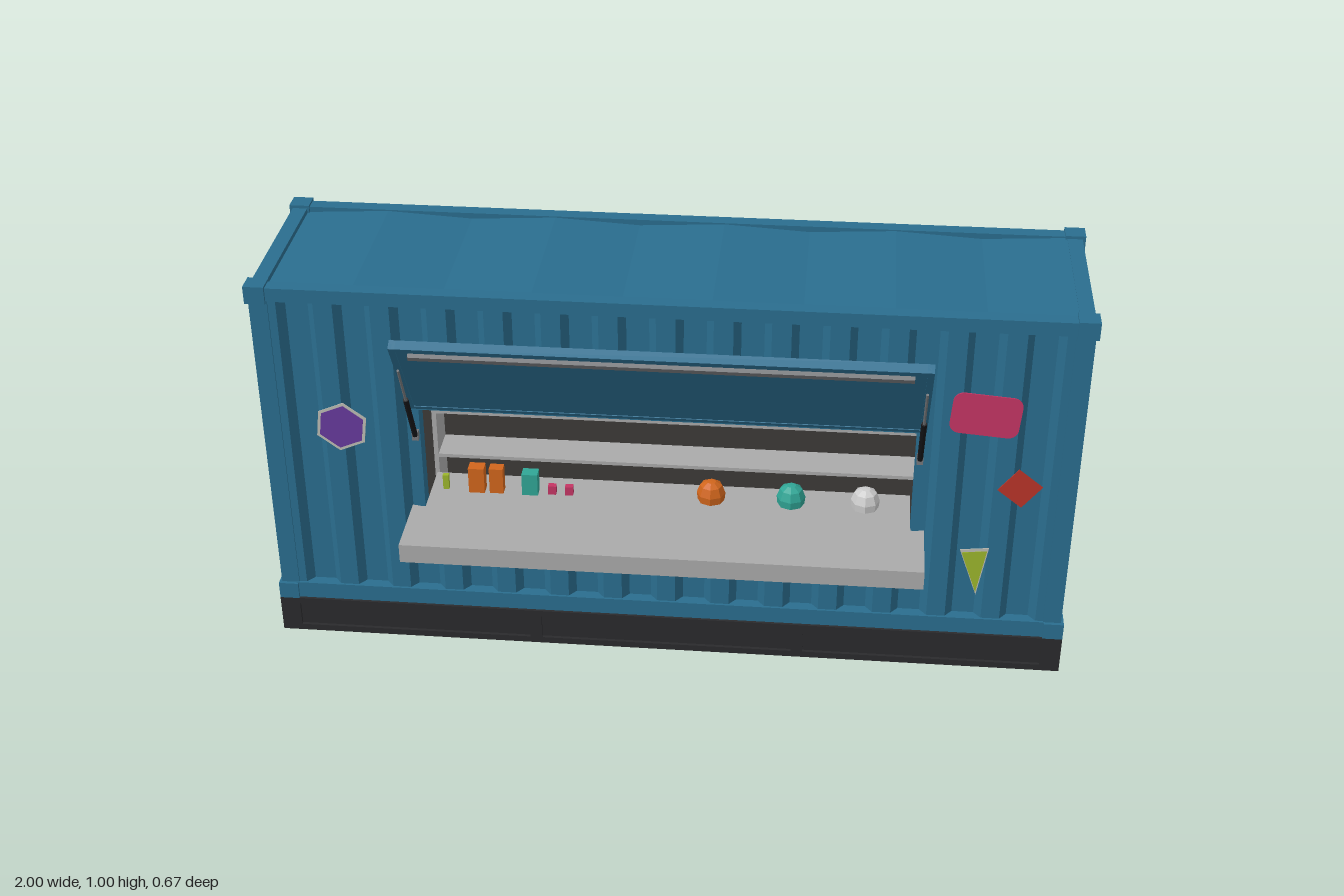
import * as THREE from 'three';

const mat = (color) => new THREE.MeshStandardMaterial({ color, flatShading: true });
const BLUE = mat(0x2a6d8e), DARK = mat(0x2a2a2c), BLACK = mat(0x161618), STEEL = mat(0x75777a);
const COUNTER = mat(0xaaaaaa), LINING = mat(0x3c3a37), PALE = mat(0xbcbcb4);
const ORANGE = mat(0xd0651c), PINK = mat(0xc43564), TEAL = mat(0x30a595), GREEN = mat(0x9bb52c);
const PURPLE = mat(0x663a9c), RED = mat(0xb83428), WHITE = mat(0xdadad6);
const ZC = -0.083;

function add(parent, name, geo, material, x = 0, y = 0, z = 0) {
  const m = new THREE.Mesh(geo, material);
  m.name = name;
  m.position.set(x, y, z);
  parent.add(m);
  return m;
}

// box given by its limits
function box(parent, name, material, x0, x1, y0, y1, z0, z1) {
  return add(parent, name, new THREE.BoxGeometry(x1 - x0, y1 - y0, z1 - z0), material,
    (x0 + x1) / 2, (y0 + y1) / 2, (z0 + z1) / 2);
}

function group(parent, name, x = 0, y = 0, z = 0) {
  const g = new THREE.Group();
  g.name = name;
  g.position.set(x, y, z);
  parent.add(g);
  return g;
}

// corrugated sheet: trapezoid wave along x, crests at z = 0, valleys at z = -depth
function sheet(x0, x1, height, period = 0.136, depth = 0.022, thick = 0.006) {
  const f = [0, 0.17, 0.3, 0.7, 0.83, 1];
  const wave = (x) => {
    const t = Math.abs(x / period - Math.round(x / period));
    return -depth * THREE.MathUtils.clamp((t - 0.17) / 0.13, 0, 1);
  };
  const xs = [x0];
  for (let k = Math.floor(x0 / period); k <= x1 / period; k++)
    for (const t of f.slice(1, 5)) {
      const x = (k + t) * period;
      if (x > x0 + 1e-4 && x < x1 - 1e-4) xs.push(x);
    }
  xs.push(x1);
  const pts = xs.map((x) => new THREE.Vector2(x, -wave(x)));
  const back = xs.map((x) => new THREE.Vector2(x, -wave(x) + thick)).reverse();
  return new THREE.ExtrudeGeometry(new THREE.Shape([...pts, ...back]), { depth: height, bevelEnabled: false })
    .rotateX(-Math.PI / 2);
}

const polygon = (n, r, turn = 0) => new THREE.Shape(Array.from({ length: n }, (_, i) => {
  const a = turn + (i / n) * Math.PI * 2;
  return new THREE.Vector2(r * Math.cos(a), r * Math.sin(a));
}));

function roundRect(w, h, r) {
  const s = new THREE.Shape();
  s.absarc(w / 2 - r, h / 2 - r, r, 0, Math.PI / 2);
  s.absarc(-w / 2 + r, h / 2 - r, r, Math.PI / 2, Math.PI);
  s.absarc(-w / 2 + r, -h / 2 + r, r, Math.PI, Math.PI * 1.5);
  s.absarc(w / 2 - r, -h / 2 + r, r, Math.PI * 1.5, Math.PI * 2);
  return s;
}

// thin decal, optionally with a pale rim behind it
function decal(parent, shape, material, x, y, z, turn = 0, rim = false) {
  const g = group(parent, 'decal', x, y, z);
  g.rotation.z = turn;
  const flat = (d) => new THREE.ExtrudeGeometry(shape, { depth: d, bevelEnabled: false, curveSegments: 6 });
  add(g, 'decalFace', flat(0.003), material);
  if (rim) add(g, 'decalRim', flat(0.002), PALE).scale.set(1.14, 1.14, 1);
}

function rod(parent, name, material, a, b, r) {
  const p = new THREE.Vector3(...a), q = new THREE.Vector3(...b);
  const m = add(parent, name, new THREE.CylinderGeometry(r, r, p.distanceTo(q), 8), material);
  m.position.addVectors(p, q).multiplyScalar(0.5);
  m.quaternion.setFromUnitVectors(new THREE.Vector3(0, 1, 0), q.sub(p).normalize());
}

function buildFrame(root) {
  // plinth with framed panels on both long sides
  box(root, 'plinth', DARK, -1, 1, 0, 0.1, -0.325, 0.159);
  for (const [z0, z1] of [[0.159, 0.167], [-0.333, -0.325]]) {
    box(root, 'plinthTopRim', DARK, -1, 1, 0.083, 0.1, z0, z1);
    box(root, 'plinthBottomRim', DARK, -1, 1, 0, 0.017, z0, z1);
    for (const [a, b] of [[-1, -0.95], [-0.35, -0.32], [0.32, 0.35], [0.95, 1]])
      box(root, 'plinthDivider', DARK, a, b, 0.017, 0.083, z0, z1);
  }
  // posts, corner castings and rails
  for (const s of [-1, 1]) {
    for (const k of [-1, 1]) {
      const z = ZC + k * 0.222;
      add(root, 'cornerPost', new THREE.BoxGeometry(0.045, 0.82, 0.038), BLUE, s * 0.9705, 0.55, z);
      for (const y of [0.122, 0.978])
        add(root, 'cornerCasting', new THREE.BoxGeometry(0.05, 0.045, 0.05), BLUE, s * 0.975, y, ZC + k * 0.225);
    }
    for (const [a, b] of [[0.1, 0.145], [0.95, 0.993]])
      box(root, 'endRail', BLUE, Math.min(s * 0.955, s * 0.992), Math.max(s * 0.955, s * 0.992), a, b, -0.3, 0.13);
  }
  for (const z of [0.142, -0.308]) {
    box(root, 'bottomRail', BLUE, -0.96, 0.96, 0.1, 0.145, z - 0.018, z + 0.018);
    box(root, 'topRail', BLUE, -0.96, 0.96, 0.96, 0.995, z - 0.018, z + 0.018);
  }
  // roof of wide shallow folds
  const top = [], n = 9;
  for (let i = 0; i <= n; i++) top.push(new THREE.Vector2(-0.96 + (i / n) * 1.92, i % 2 ? 0.992 : 0.98));
  const roof = new THREE.Shape([...top, new THREE.Vector2(0.96, 0.965), new THREE.Vector2(-0.96, 0.965)]);
  add(root, 'roof', new THREE.ExtrudeGeometry(roof, { depth: 0.43, bevelEnabled: false }), BLUE, 0, 0, -0.298);
}

function buildWalls(root) {
  // front wall around the hatch
  for (const [a, b, y0, y1] of [[-0.95, -0.62, 0.14, 0.965], [0.62, 0.95, 0.14, 0.965],
    [-0.62, 0.62, 0.14, 0.395], [-0.62, 0.62, 0.69, 0.965]])
    add(root, 'frontWall', sheet(a, b, y1 - y0), BLUE, 0, y0, 0.154);
  add(root, 'backWall', sheet(-0.95, 0.95, 0.825), BLUE, 0, 0.14, -0.32).rotation.y = Math.PI;
  const left = add(root, 'leftWall', sheet(-0.205, 0.205, 0.825), BLUE, -0.985, 0.14, ZC);
  left.rotation.y = -Math.PI / 2;
  // hatch frame
  for (const s of [-1, 1]) box(root, 'hatchJamb', BLUE, s * 0.612 - 0.01, s * 0.612 + 0.01, 0.39, 0.7, 0.115, 0.158);
  box(root, 'hatchHeader', BLUE, -0.62, 0.62, 0.68, 0.697, 0.115, 0.158);
  // interior lining
  box(root, 'liningBack', LINING, -0.95, 0.95, 0.11, 0.955, -0.294, -0.288);
  box(root, 'liningFloor', LINING, -0.95, 0.95, 0.105, 0.112, -0.29, 0.12);
  box(root, 'liningCeiling', LINING, -0.95, 0.95, 0.95, 0.957, -0.29, 0.12);
  for (const s of [-1, 1]) box(root, 'liningSide', LINING, s * 0.945 - 0.004, s * 0.945 + 0.004, 0.11, 0.955, -0.29, 0.12);
}

function buildDoors(root) {
  const end = group(root, 'doorEnd', 0.965, 0, 0);
  end.rotation.y = Math.PI / 2;
  const rows = [0.21, 0.4, 0.59, 0.78];
  for (const [u0, u1, hinge, lock, dir] of [[-0.12, 0.081, -0.1, 0.037, -1], [0.085, 0.285, 0.258, 0.127, 1]]) {
    // door leaf with four sloped recesses
    const leaf = new THREE.Shape([[u0, 0.15], [u1, 0.15], [u1, 0.947], [u0, 0.947]].map((p) => new THREE.Vector2(...p)));
    const a = u0 + 0.02, b = u1 - 0.02;
    for (const y of rows) {
      leaf.holes.push(new THREE.Path([[a, y], [a, y + 0.105], [b, y + 0.105], [b, y]].map((p) => new THREE.Vector2(...p))));
      for (const [edge, d] of [[y, 0.03], [y + 0.105, -0.015]]) {
        const wedge = new THREE.Shape([[0, edge], [0, edge + d], [-0.014, edge]].map((p) => new THREE.Vector2(...p)));
        add(end, 'recessSlope', new THREE.ExtrudeGeometry(wedge, { depth: b - a, bevelEnabled: false })
          .rotateY(Math.PI / 2), BLUE, a, 0, 0);
      }
    }
    add(end, 'doorLeaf', new THREE.ExtrudeGeometry(leaf, { depth: 0.014, bevelEnabled: false }), BLUE);
    box(end, 'doorBacking', BLUE, u0, u1, 0.15, 0.947, -0.006, 0.001);
    // recess slopes lean from the backing out to the leaf face
    end.children.filter((c) => c.name === 'recessSlope').forEach((c) => { c.scale.z = 1; });
    // locking rod, handle and hinges
    rod(end, 'lockRod', STEEL, [lock, 0.14, 0.025], [lock, 0.978, 0.025], 0.005);
    box(end, 'rodFoot', STEEL, lock - 0.013, lock + 0.013, 0.13, 0.16, 0.012, 0.034);
    box(end, 'rodGuide', STEEL, lock - 0.011, lock + 0.011, 0.775, 0.795, 0.012, 0.033);
    const h = lock + dir * 0.043;
    box(end, 'handle', STEEL, h - 0.046, h + 0.046, 0.379, 0.39, 0.022, 0.032);
    for (const y of [0.262, 0.835]) box(end, 'hinge', STEEL, hinge - 0.028, hinge + 0.024, y - 0.019, y + 0.019, 0.008, 0.03);
  }
  decal(end, roundRect(0.13, 0.05, 0.02), TEAL, -0.04, 0.46, 0.015, 0.7);
}

function buildHatch(root) {
  // raised flap, hinged along its lower edge
  const flap = group(root, 'hatchFlap', 0, 0.695, 0.17);
  flap.rotation.x = Math.atan2(0.155, 0.25);
  const L = 0.294;
  box(flap, 'flapLining', BLUE, -0.615, 0.615, 0, L, -0.003, 0.003);
  add(flap, 'flapSheet', sheet(-0.61, 0.61, L - 0.01, 0.112, 0.012, 0.003), BLUE, 0, 0.005, -0.018).rotation.y = Math.PI;
  for (const s of [-1, 1]) box(flap, 'flapSide', BLUE, s * 0.615 - 0.008, s * 0.615 + 0.008, 0, L, -0.019, 0.005);
  for (const y of [0, L - 0.012]) box(flap, 'flapEdge', BLUE, -0.62, 0.62, y, y + 0.012, -0.019, 0.005);
  box(flap, 'flapHandle', STEEL, -0.58, 0.58, L - 0.035, L - 0.02, 0.003, 0.014);
  rod(root, 'flapHinge', STEEL, [-0.61, 0.694, 0.165], [0.61, 0.694, 0.165], 0.005);
  // gas struts
  for (const s of [-1, 1]) {
    const x = s * 0.612;
    box(root, 'strutBracket', STEEL, x - 0.008, x + 0.008, 0.6, 0.625, 0.15, 0.172);
    rod(root, 'strutBody', BLACK, [x, 0.615, 0.17], [x, 0.755, 0.238], 0.007);
    rod(root, 'strutRod', STEEL, [x, 0.75, 0.236], [x, 0.865, 0.292], 0.0035);
  }
}

function buildCounter(root) {
  box(root, 'counterTop', COUNTER, -0.635, 0.635, 0.387, 0.4, 0.155, 0.333);
  box(root, 'counterInside', COUNTER, -0.602, 0.602, 0.387, 0.4, 0.0, 0.155);
  box(root, 'counterLip', COUNTER, -0.635, 0.635, 0.35, 0.39, 0.325, 0.333);
  const tri = new THREE.Shape([[0.155, 0.388], [0.325, 0.388], [0.325, 0.37], [0.155, 0.265]].map((p) => new THREE.Vector2(-p[0], p[1])));
  for (const x of [-0.55, 0, 0.55])
    add(root, 'counterBracket', new THREE.ExtrudeGeometry(tri, { depth: 0.01, bevelEnabled: false })
      .rotateY(Math.PI / 2), STEEL, x - 0.005, 0, 0);
  // shelving at the back
  for (const y of [0.33, 0.465, 0.605]) box(root, 'shelf', COUNTER, -0.64, 0.64, y - 0.005, y + 0.005, -0.288, -0.19);
  for (const s of [-1, 1]) box(root, 'shelfSide', COUNTER, s * 0.645 - 0.006, s * 0.645 + 0.006, 0.112, 0.75, -0.288, -0.19);
  // goods: x, base height, z, width, height, material
  const goods = [
    [-0.565, 0.4, 0.07, 0.015, 0.04, GREEN], [-0.485, 0.4, 0.07, 0.04, 0.07, ORANGE], [-0.435, 0.4, 0.07, 0.035, 0.07, ORANGE],
    [-0.35, 0.4, 0.07, 0.04, 0.06, TEAL], [-0.295, 0.4, 0.07, 0.02, 0.024, PINK], [-0.252, 0.4, 0.07, 0.02, 0.024, PINK],
    [-0.54, 0.47, -0.23, 0.032, 0.06, PINK], [-0.492, 0.47, -0.23, 0.032, 0.06, PINK], [-0.445, 0.47, -0.23, 0.032, 0.06, PINK],
    [-0.355, 0.47, -0.23, 0.036, 0.055, TEAL], [-0.27, 0.47, -0.23, 0.016, 0.04, GREEN], [-0.575, 0.61, -0.23, 0.02, 0.025, PINK],
    [-0.5, 0.61, -0.23, 0.04, 0.058, ORANGE], [-0.41, 0.61, -0.23, 0.042, 0.04, GREEN],
    [-0.32, 0.61, -0.23, 0.026, 0.058, ORANGE], [-0.278, 0.61, -0.23, 0.026, 0.058, ORANGE],
  ];
  for (const [x, y, z, w, h, m] of goods) add(root, 'goodsBox', new THREE.BoxGeometry(w, h, w * 0.8), m, x, y + h / 2, z);
  // domed items on the counter
  const dome = [[0, 0], [0.034, 0], [0.036, 0.02], [0.028, 0.042], [0.012, 0.052], [0, 0.053]].map((p) => new THREE.Vector2(...p));
  [[0.105, ORANGE], [0.305, TEAL], [0.49, WHITE]].forEach(([x, m]) =>
    add(root, 'dome', new THREE.LatheGeometry(dome, 8), m, x, 0.4, 0.06));
}

function buildDecals(root) {
  decal(root, polygon(6, 0.06, 0.4), PURPLE, -0.797, 0.62, 0.155, 0, true);
  decal(root, roundRect(0.165, 0.11, 0.025), PINK, 0.76, 0.737, 0.155, -0.08);
  decal(root, polygon(4, 0.054, 0.12), RED, 0.857, 0.537, 0.155);
  const tri = new THREE.Shape([[-0.032, 0.055], [0.03, 0.062], [0.01, -0.062]].map((p) => new THREE.Vector2(...p)));
  decal(root, tri, GREEN, 0.763, 0.288, 0.155, 0, true);
  const back = group(root, 'backDecals', 0, 0, -0.321);
  back.rotation.y = Math.PI;
  decal(back, polygon(5, 0.062, -Math.PI / 2), PINK, -0.6, 0.28, 0);
  decal(back, roundRect(0.025, 0.06, 0.01), TEAL, -0.6, 0.28, 0.001, -0.3);
  const left = group(root, 'leftDecals', -0.986, 0, 0);
  left.rotation.y = -Math.PI / 2;
  decal(left, polygon(6, 0.082, 0.45), ORANGE, -0.146, 0.46, 0, 0, true);
}

export function createModel() {
  const root = new THREE.Group();
  root.name = 'containerKiosk';
  [buildFrame, buildWalls, buildDoors, buildHatch, buildCounter, buildDecals].forEach((build) => build(root));
  return root;
}
